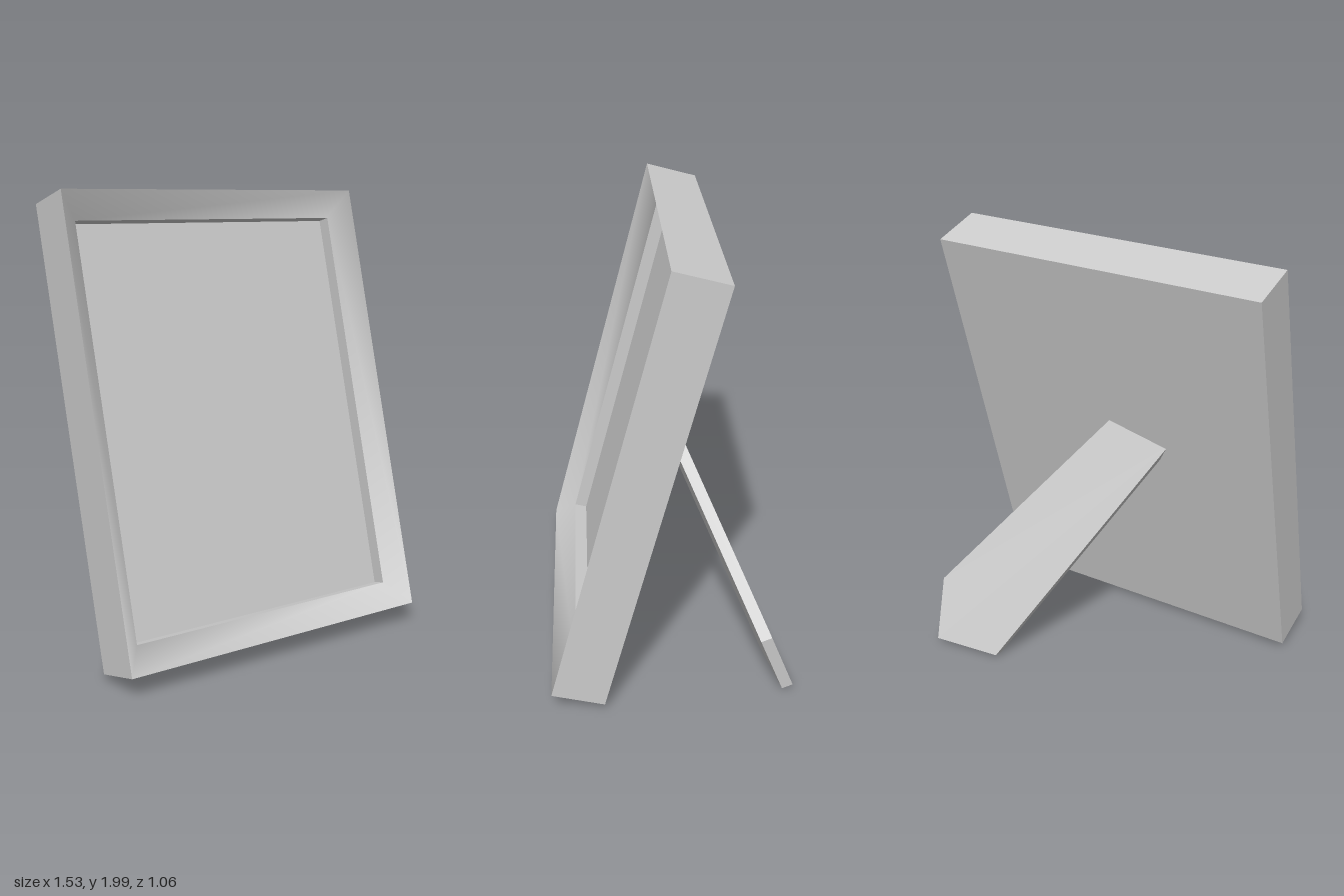
import * as THREE from 'three';

const material = new THREE.MeshStandardMaterial({ color: 0xcccccc });

// Indexed geometry from corner points; flat faces unless smooth is set
function build(name, points, index, smooth = false) {
  let geo = new THREE.BufferGeometry();
  geo.setAttribute('position', new THREE.Float32BufferAttribute(points.flat(), 3));
  geo.setIndex(index);
  if (!smooth) geo = geo.toNonIndexed();
  geo.computeVertexNormals();
  const mesh = new THREE.Mesh(geo, material);
  mesh.name = name;
  return mesh;
}

// Closed band of quads joining two loops of equal length
function band(name, a, b, smooth) {
  const n = a.length, index = [];
  for (let i = 0; i < n; i++) {
    const j = (i + 1) % n;
    index.push(i, j, n + j, i, n + j, n + i);
  }
  return build(name, [...a, ...b], index, smooth);
}

// Convex face filling one loop, anticlockwise as seen from outside
function cap(name, loop) {
  const index = [];
  for (let i = 1; i < loop.length - 1; i++) index.push(0, i, i + 1);
  return build(name, loop, index);
}

export function createModel() {
  const model = new THREE.Group();
  model.name = 'pictureFrame';

  // Leaning frame, local origin at the middle of its lower front edge
  const W = 0.763, H = 1.972, DEPTH = 0.237;
  const rect = (ix, iy, z) => [
    [-W + ix, iy, z], [W - ix, iy, z], [W - ix, H - iy, z], [-W + ix, H - iy, z],
  ];
  const back = rect(0, 0, -DEPTH);
  const front = rect(0, 0, 0);
  const lip = rect(0.088, 0.111, -0.082);
  const recess = rect(0.088, 0.111, -0.141);

  const frame = new THREE.Group();
  frame.name = 'frame';
  frame.add(
    band('outerWalls', back, front),
    band('slopedBorder', front, lip, true),
    band('recessWalls', lip, recess),
    cap('picturePanel', recess),
    cap('backPanel', [...back].reverse()),
  );
  frame.rotation.x = -THREE.MathUtils.degToRad(15);
  frame.position.set(0, 0.095, 0.53);
  model.add(frame);

  // Slanted, tapering support leg; its upper end sinks into the back panel
  const upper = [
    [-0.26, 1.1, 0.028], [0.017, 1.182, 0.008],
    [0.715, 0.315, -0.425], [0.69, 0.035, -0.532], [0.38, 0.02, -0.48],
  ];
  const lower = upper.map(([x, y, z]) => [x + 0.005, y - 0.015, z + 0.048]);
  const leg = new THREE.Group();
  leg.name = 'supportLeg';
  leg.add(
    cap('legTop', upper),
    cap('legUnderside', [...lower].reverse()),
    band('legEdges', lower, upper),
  );
  model.add(leg);

  return model;
}
